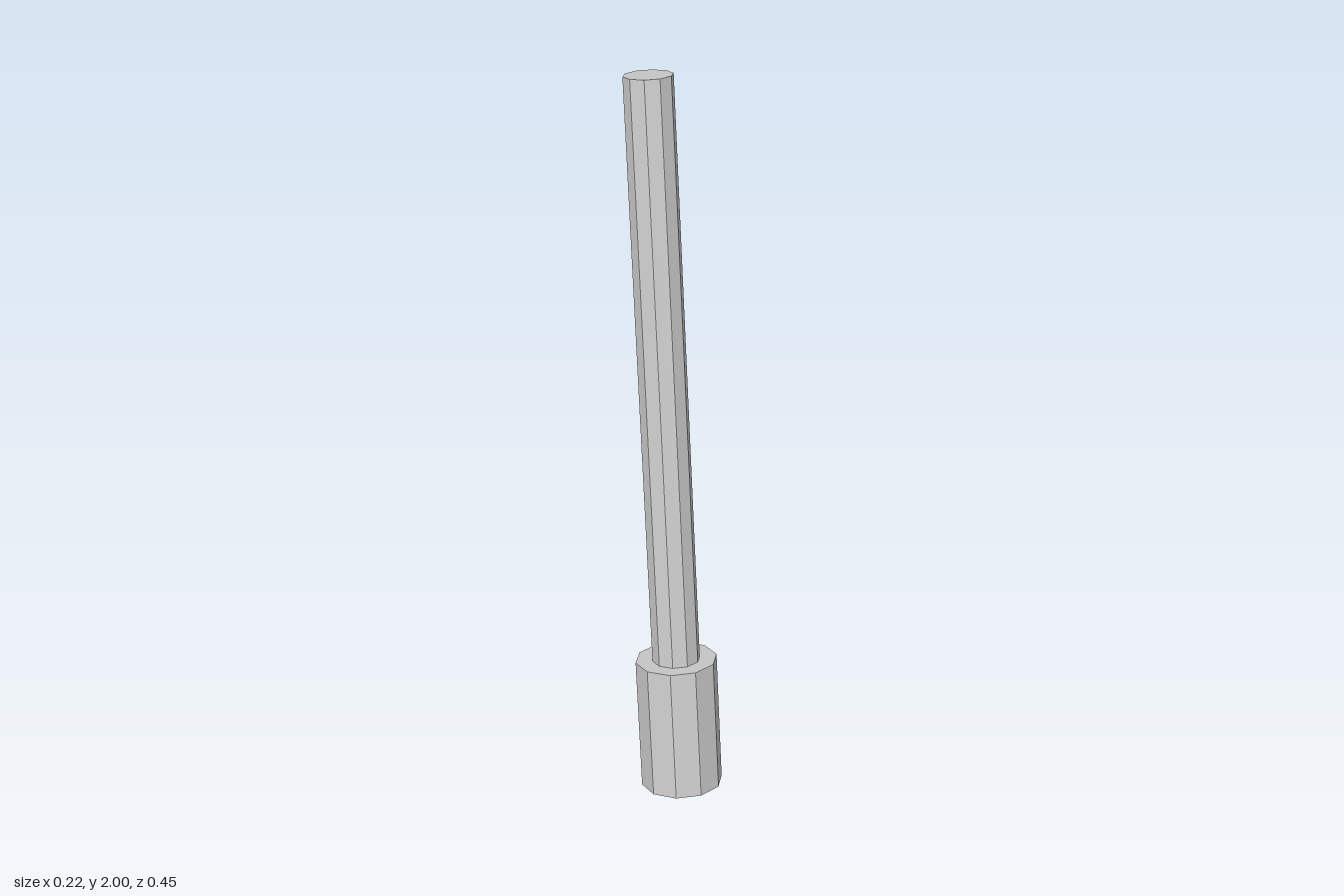
import * as THREE from 'three';

const SIDES = 10;
const PHASE = THREE.MathUtils.degToRad(9);

export function createModel() {
  const model = new THREE.Group();
  const material = new THREE.MeshStandardMaterial({ color: 0xcccccc, flatShading: true });

  // Turns a [radius, height] profile into a faceted ten-sided part
  const turned = (name, profile) => {
    const points = profile.map(([r, y]) => new THREE.Vector2(r, y));
    const mesh = new THREE.Mesh(new THREE.LatheGeometry(points, SIDES, PHASE), material);
    mesh.name = name;
    return mesh;
  };

  // Both parts share one leaning axis
  const lever = new THREE.Group();
  lever.name = 'leaningLever';
  lever.position.set(0, 0.016, 0.113);
  lever.rotation.x = THREE.MathUtils.degToRad(-8);
  model.add(lever);

  // Collar with a shallow recess in its underside
  lever.add(turned('collar', [
    [0, 0.035], [0.091, 0.035], [0.091, 0], [0.113, 0], [0.113, 0.372], [0, 0.372],
  ]));

  // Long rod rising out of the collar
  lever.add(turned('rod', [
    [0, 0.35], [0.066, 0.35], [0.066, 1.994], [0, 1.994],
  ]));

  return model;
}
